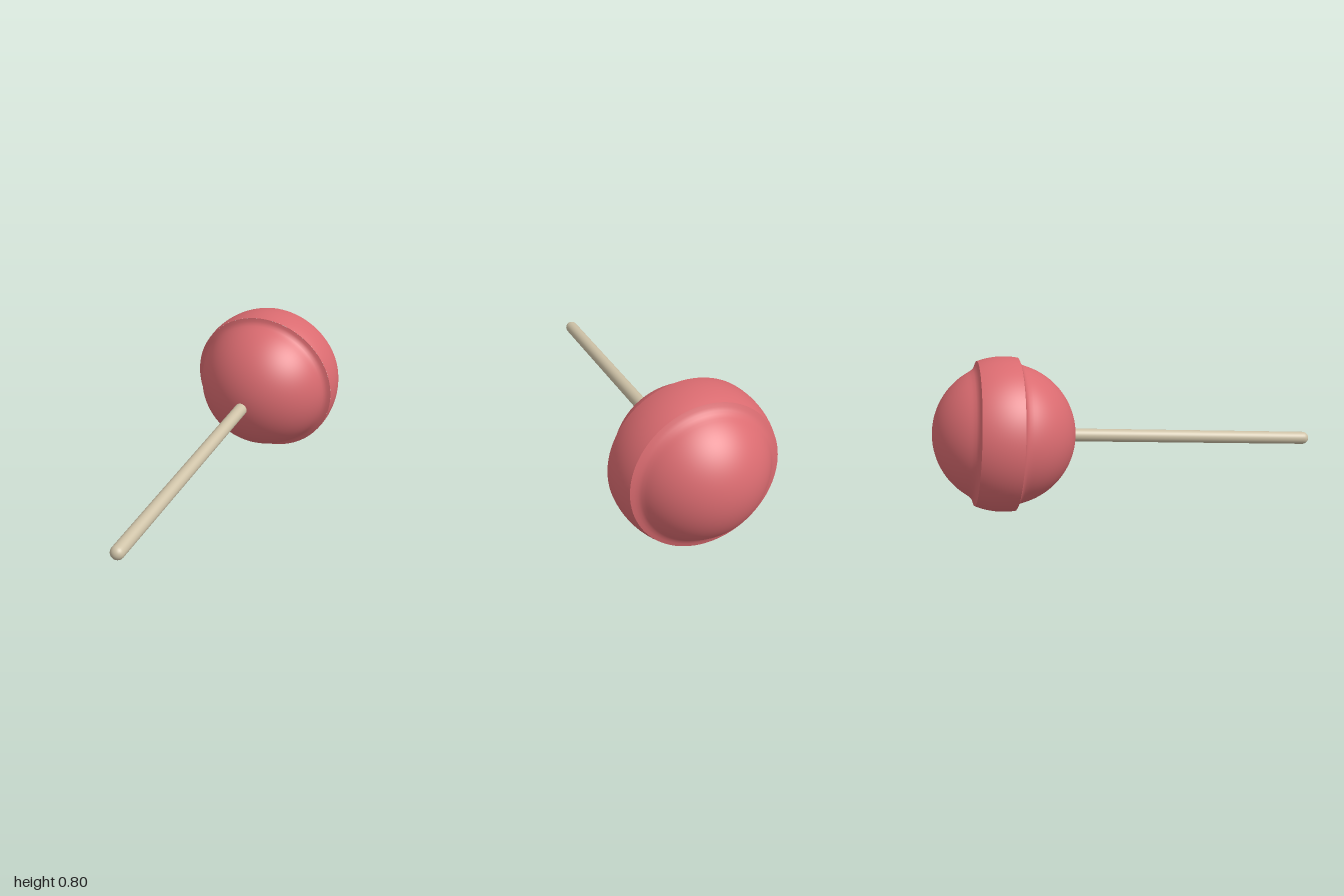
import * as THREE from 'three';

export function createModel() {
  const candyMat = new THREE.MeshStandardMaterial({ color: 0xda6b70 });
  candyMat.name = 'candy red';
  const stickMat = new THREE.MeshStandardMaterial({ color: 0xcdc1a6 });
  stickMat.name = 'paper beige';

  const R = 0.367;      // candy ball radius
  const BAND = 0.4;     // raised band radius
  const STICK = 0.034;  // stick radius
  const centre = new THREE.Vector3(-0.055, 0.403, -0.633);
  const tip = new THREE.Vector3(0.415, 0.26, 0.965);
  const axis = tip.clone().sub(centre);
  const length = axis.length();

  // Points on a circle of the given radius, between two heights on the axis
  const arc = (radius, from, to, steps) => {
    const a = Math.asin(from / radius), b = Math.asin(to / radius);
    return Array.from({ length: steps + 1 }, (_, i) => {
      const t = a + (b - a) * i / steps;
      return new THREE.Vector2(Math.max(0, radius * Math.cos(t)), radius * Math.sin(t));
    });
  };
  const pts = (...list) => list.map(([r, y]) => new THREE.Vector2(r, y));

  // Everything is built along +y, then turned to the stick's direction
  const model = new THREE.Group();
  model.name = 'lollipop';
  const body = new THREE.Group();
  body.name = 'lollipopBody';
  body.position.copy(centre);
  body.quaternion.setFromUnitVectors(new THREE.Vector3(0, 1, 0), axis.normalize());
  model.add(body);

  const addLathe = (name, profile, material, segments) => {
    const mesh = new THREE.Mesh(new THREE.LatheGeometry(profile, segments), material);
    mesh.name = name;
    body.add(mesh);
  };

  // Ball halves flare into the band; separate surfaces keep the band edges sharp
  addLathe('candyBack', [
    ...arc(R, -R, -0.19, 24),
    ...pts([0.326, -0.173], [0.338, -0.163], [0.353, -0.156], [0.371, -0.15]),
  ], candyMat, 96);
  addLathe('candyBand', arc(BAND, -0.15, 0.055, 14), candyMat, 96);
  addLathe('candyFront', [
    ...pts([0.396, 0.055], [0.38, 0.06], [0.368, 0.068], [0.36, 0.08]),
    ...arc(R, 0.1, R, 28),
  ], candyMat, 96);

  // Stick with a rounded end, starting inside the ball
  const end = arc(STICK, 0, STICK, 8).map(p => new THREE.Vector2(p.x, p.y + length));
  addLathe('stick', [...pts([STICK, 0.2], [STICK, length - 0.01]), ...end], stickMat, 32);

  return model;
}
